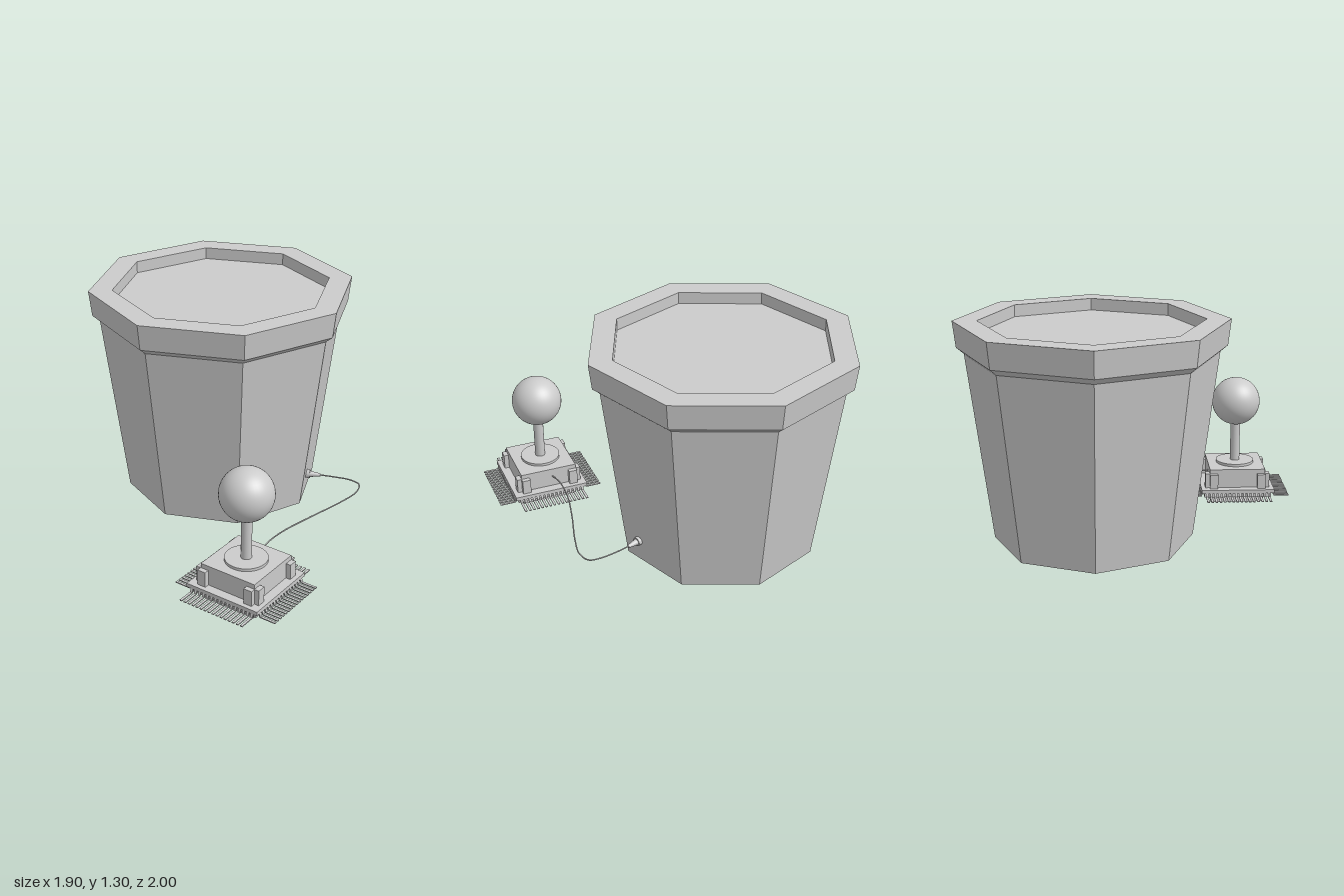
import * as THREE from 'three';

const grey = new THREE.MeshStandardMaterial({ color: 0xcccccc });
const flat = new THREE.MeshStandardMaterial({ color: 0xcccccc, flatShading: true });

function add(parent, name, geometry, x = 0, y = 0, z = 0, material = grey) {
  const mesh = new THREE.Mesh(geometry, material);
  mesh.name = name;
  mesh.position.set(x, y, z);
  parent.add(mesh);
  return mesh;
}

// Square slab given by half width and its bottom and top heights
function slab(parent, name, half, y0, y1) {
  return add(parent, name, new THREE.BoxGeometry(half * 2, y1 - y0, half * 2), 0, (y0 + y1) / 2, 0);
}

// Eight-sided pot with a flared rim and a sunken top
function makePot() {
  const pot = new THREE.Group();
  pot.name = 'pot';
  pot.position.set(-0.185, 0, -0.23);
  const profile = [[0, 0.04], [0.57, 0.04], [0.71, 1.12], [0.752, 1.155], [0.77, 1.305], [0.633, 1.305], [0.633, 1.235]];
  add(pot, 'potShell', new THREE.LatheGeometry(profile.map(p => new THREE.Vector2(...p)), 8), 0, 0, 0, flat);
  const soil = add(pot, 'soil', new THREE.CircleGeometry(0.633, 8), 0, 1.235, 0, flat);
  soil.rotation.x = -Math.PI / 2;
  return pot;
}

// Bent pin, drawn in side profile and extruded to its width
function makePinGeometry() {
  const outline = [[0.18, 0.07], [0.218, 0.07], [0.225, 0.049], [0.32, 0.049], [0.32, 0.055], [0.231, 0.055], [0.224, 0.077], [0.18, 0.077]];
  const shape = new THREE.Shape(outline.map(p => new THREE.Vector2(...p)));
  return new THREE.ExtrudeGeometry(shape, { depth: 0.014, bevelEnabled: false }).translate(0, 0, -0.007);
}

// Ball-topped stick on a square housing with rows of pins
function makeJoystick() {
  const stick = new THREE.Group();
  stick.name = 'joystick';
  stick.position.set(0.63, 0, 0.675);
  slab(stick, 'foot', 0.165, 0, 0.05);
  slab(stick, 'socket', 0.208, 0.045, 0.074);
  slab(stick, 'board', 0.226, 0.074, 0.097);
  slab(stick, 'housing', 0.172, 0.097, 0.214);
  add(stick, 'collar', new THREE.CylinderGeometry(0.118, 0.118, 0.016, 32), 0, 0.222, 0);
  add(stick, 'shaft', new THREE.CylinderGeometry(0.03, 0.03, 0.3, 24), 0, 0.37, 0);
  add(stick, 'ball', new THREE.SphereGeometry(0.149, 40, 28), 0, 0.613, 0);

  const pin = makePinGeometry();
  const clip = new THREE.BoxGeometry(0.032, 0.09, 0.05);
  for (let s = 0; s < 4; s++) {
    const side = new THREE.Group();
    side.name = 'housingSide';
    side.rotation.y = s * Math.PI / 2;
    for (let i = 0; i < 16; i++) add(side, 'pin', pin, 0, 0, (i - 7.5) * 0.0258);
    for (const m of [-1, 1]) add(side, 'clip', clip, 0.184, 0.142, m * 0.148);
    stick.add(side);
  }
  return stick;
}

// Cable from the housing round to a plug on the pot wall
function makeCable() {
  const cable = new THREE.Group();
  cable.name = 'cable';
  const points = [
    [0.61, 0.165, 0.51], [0.587, 0.165, 0.42], [0.59, 0.165, 0.26], [0.63, 0.165, 0.05], [0.69, 0.172, -0.19],
    [0.709, 0.178, -0.33], [0.68, 0.184, -0.41], [0.61, 0.187, -0.42], [0.52, 0.185, -0.4], [0.42, 0.183, -0.368],
  ].map(p => new THREE.Vector3(...p));
  add(cable, 'cord', new THREE.TubeGeometry(new THREE.CatmullRomCurve3(points), 90, 0.004, 8));

  const plug = new THREE.Group();
  plug.name = 'plug';
  plug.position.set(0.355, 0.183, -0.34);
  plug.quaternion.setFromUnitVectors(new THREE.Vector3(0, 1, 0), new THREE.Vector3(0.924, 0, -0.383).normalize());
  add(plug, 'plugBase', new THREE.CylinderGeometry(0.026, 0.026, 0.03, 16), 0, 0.01, 0);
  add(plug, 'plugSleeve', new THREE.CylinderGeometry(0.009, 0.019, 0.065, 16), 0, 0.055, 0);
  cable.add(plug);
  return cable;
}

export function createModel() {
  const model = new THREE.Group();
  model.name = 'potWithJoystick';
  model.add(makePot(), makeJoystick(), makeCable());
  return model;
}
